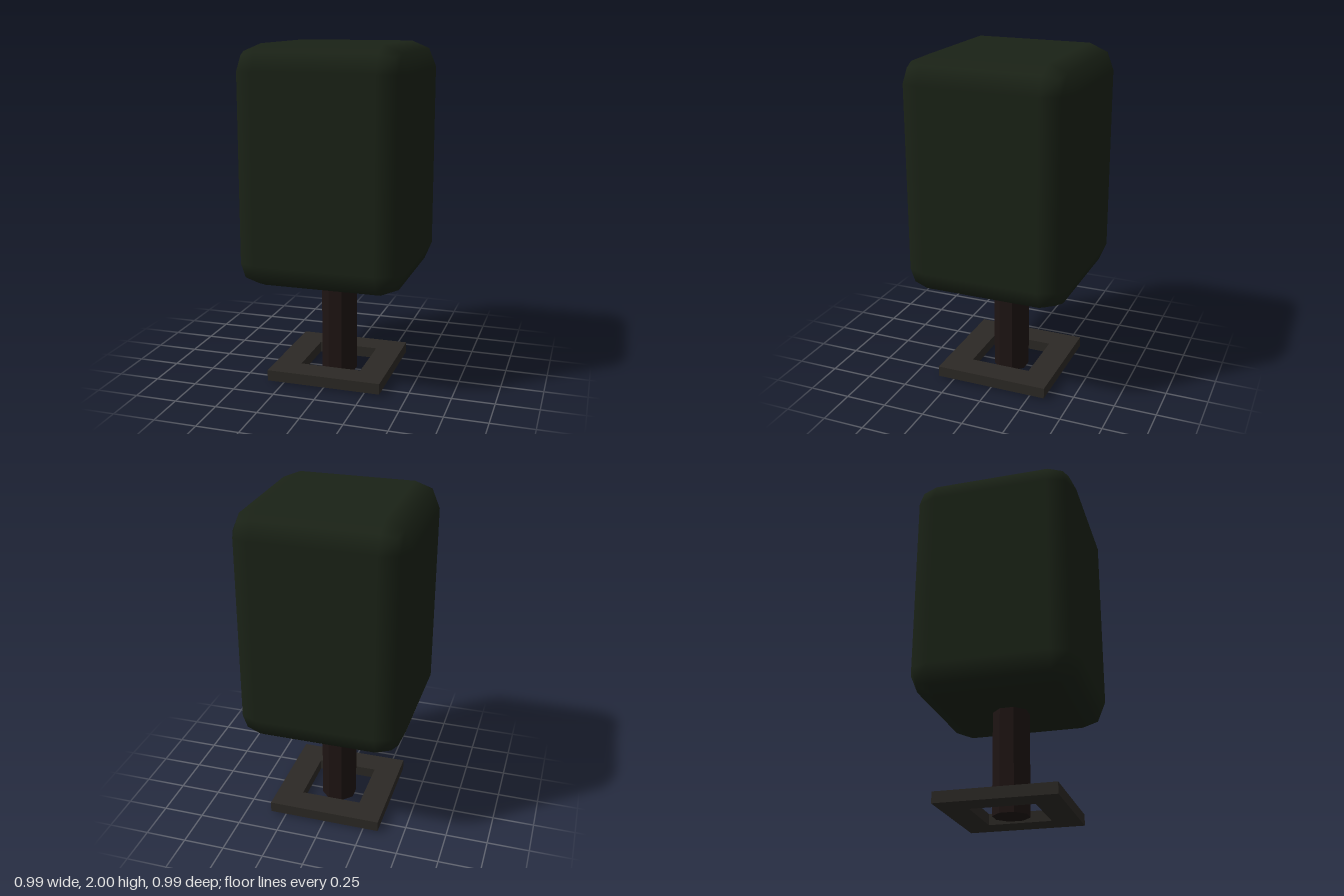
import * as THREE from 'three';
import { RoundedBoxGeometry } from 'three/addons/geometries/RoundedBoxGeometry.js';

const material = (color, flatShading = false) => new THREE.MeshStandardMaterial({ color, flatShading });

// Traces a centred square on a shape or path
function square(target, h) {
  target.moveTo(-h, -h);
  target.lineTo(h, -h);
  target.lineTo(h, h);
  target.lineTo(-h, h);
  target.closePath();
  return target;
}

export function createModel() {
  const model = new THREE.Group();
  model.name = 'clippedTree';
  const add = (name, geometry, mat, y) => {
    const mesh = new THREE.Mesh(geometry, mat);
    mesh.name = name;
    mesh.position.y = y;
    model.add(mesh);
  };

  // Boxy clipped crown with two-facet rounded edges
  add('foliage', new RoundedBoxGeometry(0.994, 1.39, 0.994, 1, 0.15), material(0x1a2216), 1.305);

  // Eight-sided trunk, flat sides facing the axes
  const trunk = new THREE.CylinderGeometry(0.108, 0.108, 0.66, 8);
  trunk.rotateY(Math.PI / 8);
  add('trunk', trunk, material(0x1e1413, true), 0.33);

  // Square planting frame around the trunk
  const outline = square(new THREE.Shape(), 0.345);
  outline.holes.push(square(new THREE.Path(), 0.186));
  const frame = new THREE.ExtrudeGeometry(outline, { depth: 0.065, bevelEnabled: false });
  frame.rotateX(-Math.PI / 2);
  add('plantingFrame', frame, material(0x2c2925, true), 0.01);

  return model;
}
